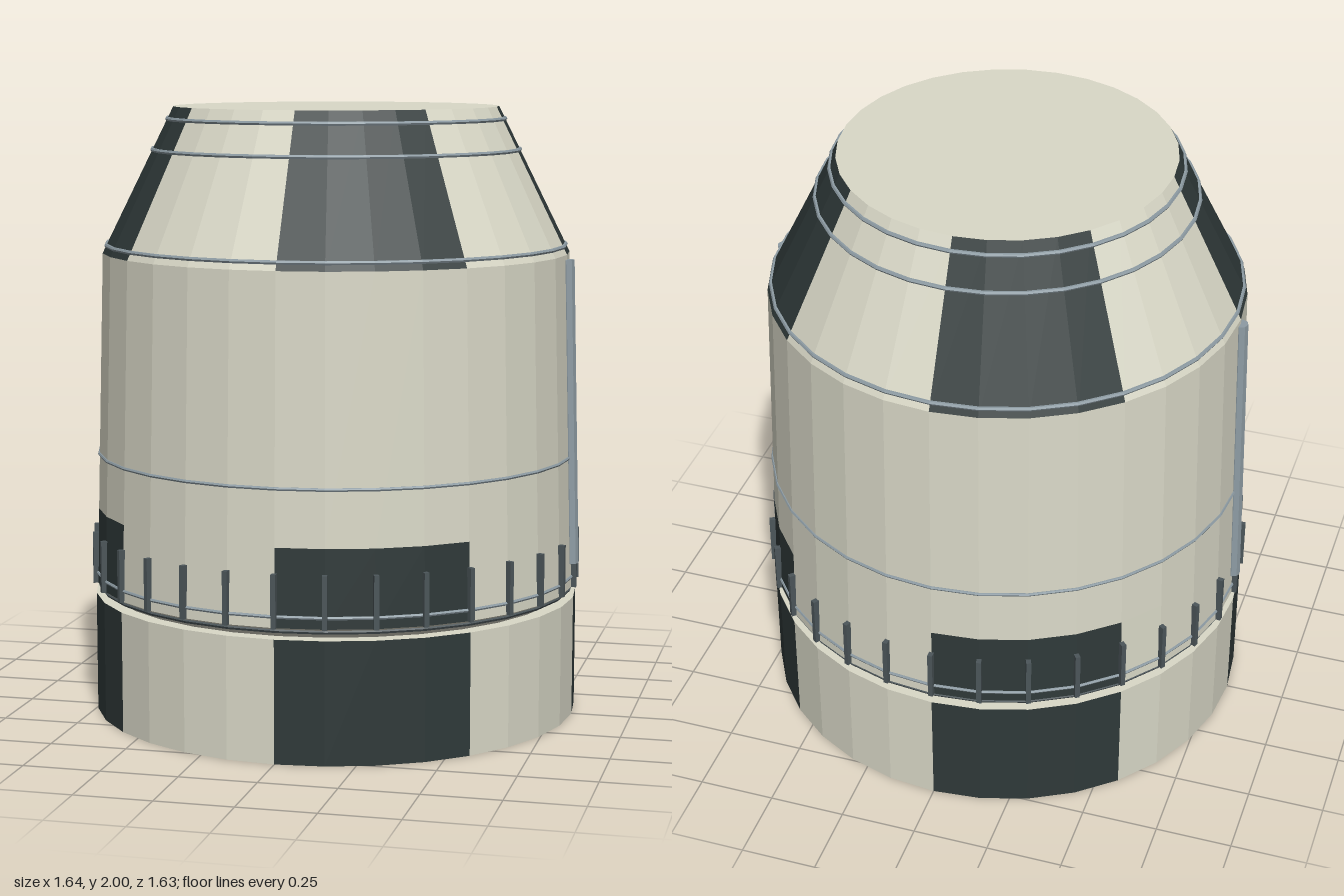
import * as THREE from 'three';

export function createModel() {
  const model = new THREE.Group();
  model.name = 'rocketStage';

  const paint = (name, color) => {
    const m = new THREE.MeshStandardMaterial({ color, flatShading: true });
    m.name = name;
    return m;
  };
  const cream = paint('cream', 0xdad9c8);
  const dark = paint('charcoal', 0x2f3939);
  const steel = paint('blueSteel', 0x8e9ca4);
  const gunmetal = paint('gunmetal', 0x4c565a);

  const SIDES = 32;
  const add = (name, geometry, material, parent = model) => {
    const mesh = new THREE.Mesh(geometry, material);
    mesh.name = name;
    parent.add(mesh);
    return mesh;
  };

  // Outer skin radius at a height
  const bodyRadius = y => 0.8 - (y - 0.43) * 0.027;
  const coneRadius = y => 0.77 - (y - 1.525) * 0.495;

  // Open wall between two heights, whole or in eight alternating painted sectors
  const wall = (name, y0, r0, y1, r1, checkered) => {
    const group = new THREE.Group();
    group.name = name;
    const n = checkered ? 8 : 1;
    const step = (Math.PI * 2) / n;
    for (let i = 0; i < n; i++) {
      const g = new THREE.CylinderGeometry(r1, r0, y1 - y0, SIDES / n, 1, true, i * step, step);
      g.translate(0, (y0 + y1) / 2, 0);
      add(name + 'Panel', g, checkered && i % 2 === 0 ? dark : cream, group);
    }
    model.add(group);
  };

  // Horizontal disc, facing up or down
  const disc = (name, radius, x, y, z, up, material) => {
    const g = new THREE.CircleGeometry(radius, SIDES);
    g.rotateX(up ? -Math.PI / 2 : Math.PI / 2);
    g.translate(x, y, z);
    add(name, g, material);
  };

  // Hull, from the base up to the truncated nose
  wall('base', 0, 0.805, 0.395, 0.805, true);
  disc('baseLedge', 0.805, 0, 0.395, 0, true, cream);
  wall('chamfer', 0.39, 0.75, 0.43, 0.8, false);
  wall('lowerBody', 0.43, 0.8, 0.68, bodyRadius(0.68), true);
  wall('upperBody', 0.68, bodyRadius(0.68), 1.525, 0.77, false);
  wall('cone', 1.525, 0.77, 2, coneRadius(2), true);
  disc('topCap', coneRadius(2), 0, 2, 0, true, cream);

  // Underside with five engine openings
  disc('baseFloor', 0.805, 0, 0.004, 0, false, cream);
  disc('engineOpening', 0.19, 0, 0, 0, false, dark);
  for (const sx of [-1, 1]) {
    for (const sz of [-1, 1]) disc('engineOpening', 0.19, sx * 0.36, 0, sz * 0.36, false, dark);
  }

  // Thin hoops around the hull
  const hoop = (y, radius, thickness, material) => {
    const g = new THREE.TorusGeometry(radius, thickness, 6, SIDES);
    g.rotateX(Math.PI / 2);
    g.translate(0, y, 0);
    add('hoop', g, material);
  };
  hoop(0.42, 0.788, 0.008, gunmetal);
  for (const y of [0.465, 0.862]) hoop(y, bodyRadius(y), 0.006, steel);
  for (const y of [1.55, 1.86, 1.96]) hoop(y, coneRadius(y), 0.007, steel);

  // Short vertical ribs around the lower body
  for (let i = 0; i < SIDES; i++) {
    const a = (i / SIDES) * Math.PI * 2;
    const rib = add('rib', new THREE.BoxGeometry(0.016, 0.17, 0.026), gunmetal);
    rib.position.set(Math.sin(a) * 0.802, 0.515, Math.cos(a) * 0.802);
    rib.rotation.y = a;
  }

  // Cable conduits on both sides, following the body taper
  for (const s of [-1, 1]) {
    const conduit = add('conduit', new THREE.CylinderGeometry(0.024, 0.024, 1, 8), steel);
    conduit.position.set(s * bodyRadius(1.01), 1.01, 0);
    conduit.rotation.z = s * 0.027;
  }

  return model;
}
